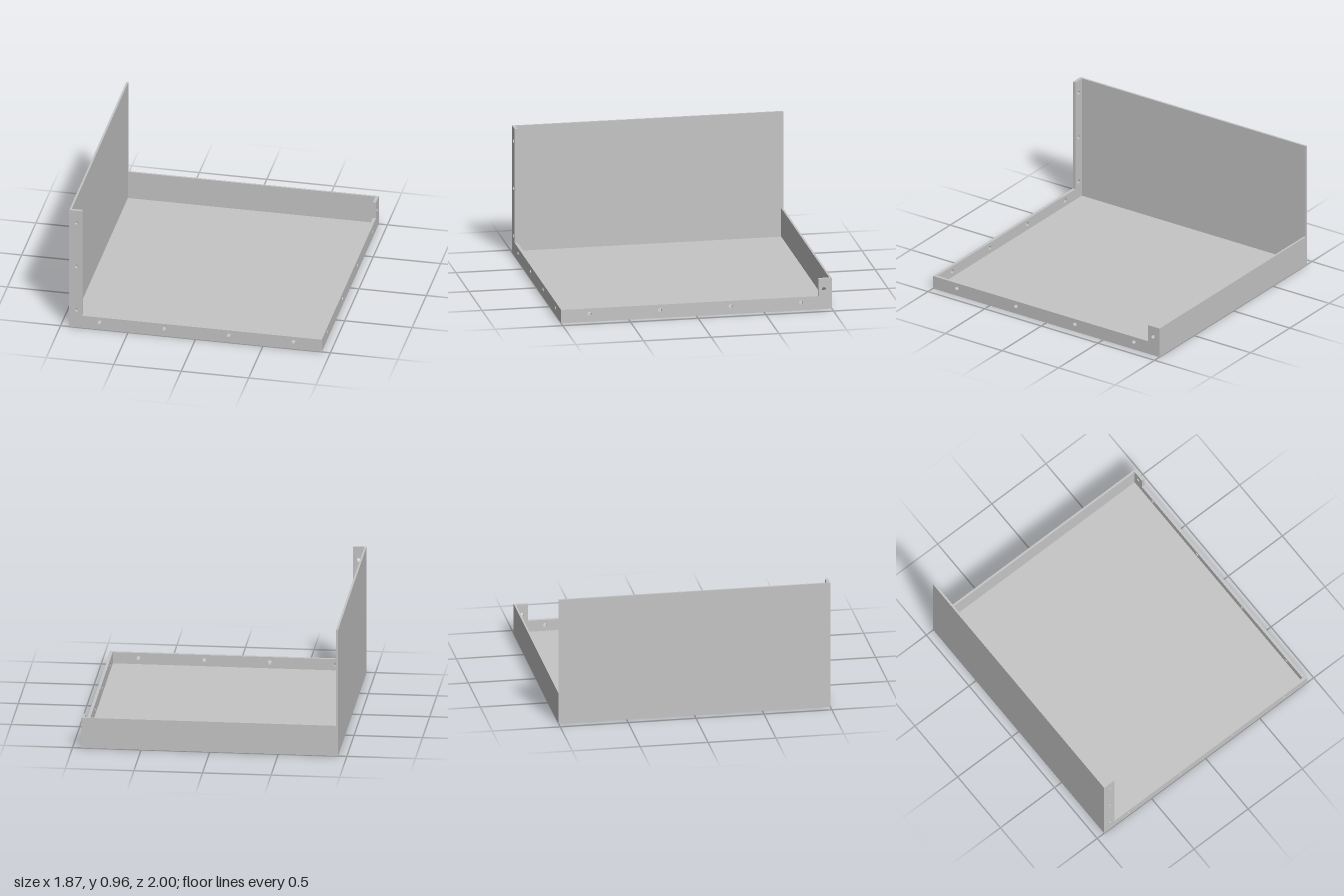
import * as THREE from 'three';

const HALF_X = 0.936, HALF_Z = 1;
const SHEET = 0.015, FLANGE = 0.023;   // thin walls and thicker drilled flanges
const LIP = 0.1, BACK = 0.23, TALL = 0.96, HOLE = 0.015;

export function createModel() {
  const group = new THREE.Group();
  const grey = new THREE.MeshStandardMaterial({ color: 0xc5c5c5 });
  grey.name = 'light sheet metal grey';

  function add(name, geometry) {
    const mesh = new THREE.Mesh(geometry, grey);
    mesh.name = name;
    group.add(mesh);
    return mesh;
  }

  // Box given by its minimum and maximum corners
  function slab(name, min, max) {
    const size = max.map((v, i) => v - min[i]);
    const mesh = add(name, new THREE.BoxGeometry(...size));
    mesh.position.set(...max.map((v, i) => (v + min[i]) / 2));
  }

  // Flat plate from an outline, drilled with round holes
  function drilledPlate(outline, holes) {
    const shape = new THREE.Shape(outline.map(p => new THREE.Vector2(...p)));
    for (const [x, y] of holes) {
      shape.holes.push(new THREE.Path().absarc(x, y, HOLE, 0, Math.PI * 2, true));
    }
    return new THREE.ExtrudeGeometry(shape, { depth: FLANGE, bevelEnabled: false, curveSegments: 16 });
  }

  const innerFront = HALF_Z - FLANGE, innerRight = HALF_X - FLANGE;

  // Floor and the two plain walls
  slab('floor', [-HALF_X + SHEET, 0, -HALF_Z + SHEET], [innerRight, SHEET, innerFront]);
  slab('tallSideWall', [-HALF_X, 0, -HALF_Z], [-HALF_X + SHEET, TALL, innerFront]);
  slab('backWall', [-HALF_X + SHEET, 0, -HALF_Z], [innerRight, BACK, -HALF_Z + SHEET]);

  // L-shaped front flange with the tall post
  const postX = -0.839;
  const frontHoles = [-0.711, -0.232, 0.247, 0.726].map(x => [x, 0.06]);
  const postHoles = [0.144, 0.502, 0.86].map(y => [-0.88, y]);
  add('frontFlange', drilledPlate(
    [[-HALF_X, 0], [HALF_X, 0], [HALF_X, LIP], [postX, LIP], [postX, TALL], [-HALF_X, TALL]],
    [...frontHoles, ...postHoles]
  )).position.z = innerFront;

  // Side flange with a short tab at the back; outline runs along -z
  const tab = 0.9;
  const sideHoles = [-0.791, -0.27, 0.251, 0.772].map(u => [u, 0.06]);
  const side = drilledPlate(
    [[-innerFront, 0], [HALF_Z, 0], [HALF_Z, BACK], [tab, BACK], [tab, LIP], [-innerFront, LIP]],
    [...sideHoles, [0.942, 0.15]]
  );
  side.rotateY(Math.PI / 2);
  add('sideFlange', side).position.x = innerRight;

  return group;
}
